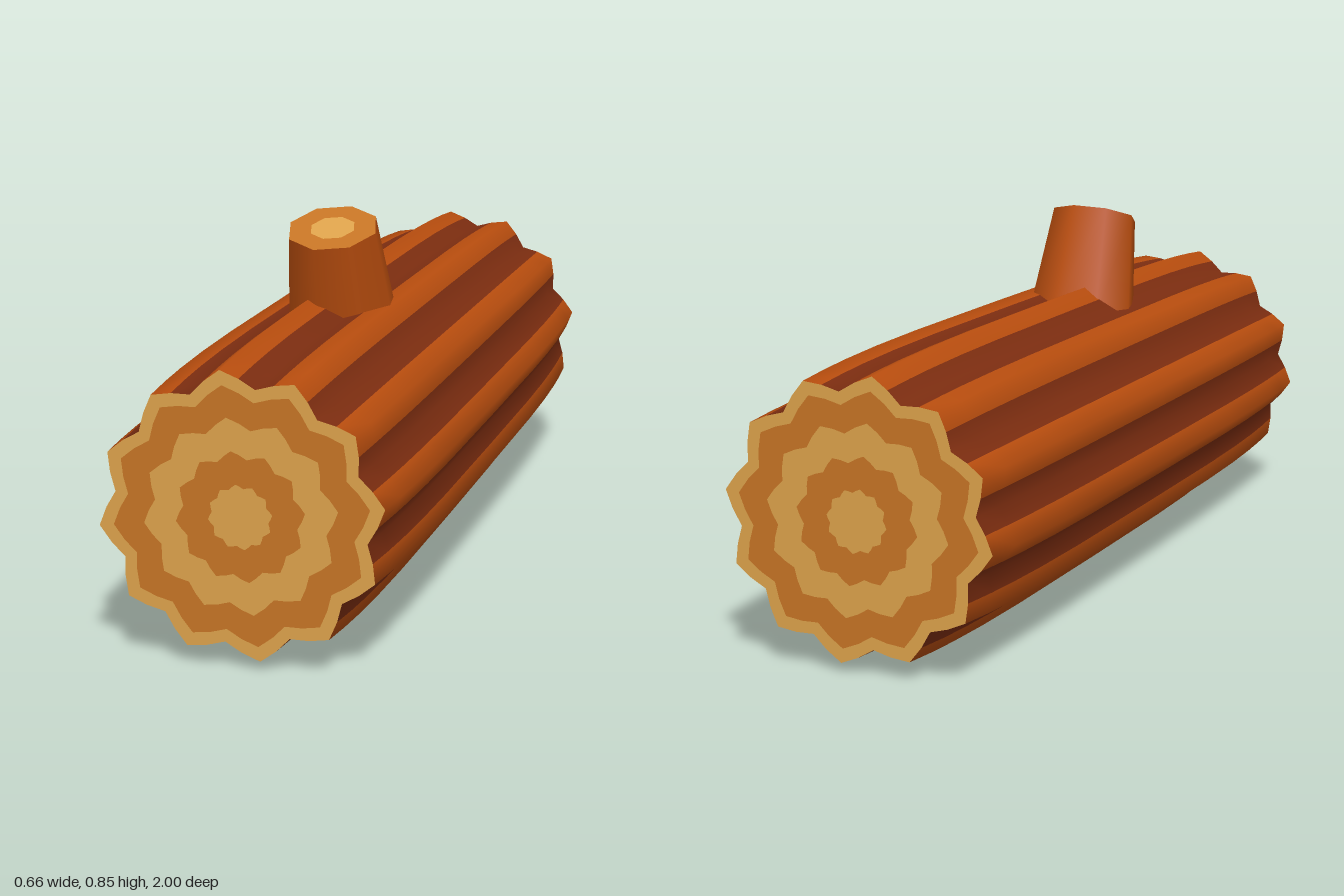
import * as THREE from 'three';

const mat = (name, color, extra = {}) => {
  const m = new THREE.MeshStandardMaterial({ color, ...extra });
  m.name = name;
  return m;
};

const RIDGES = 12, SIDES = RIDGES * 4, PHASE = THREE.MathUtils.degToRad(7.5);
const R = 0.333, CENTRE_Y = 0.335, END = 0.937;

// Ridged outline: four points per ridge (tip, slope, valley, slope)
function outline(r) {
  return Array.from({ length: SIDES }, (_, i) => {
    const a = PHASE + (i / SIDES) * Math.PI * 2;
    const d = r * (0.94 + 0.06 * Math.cos((i * Math.PI) / 2));
    return new THREE.Vector2(Math.cos(a) * d, Math.sin(a) * d);
  });
}

// Bark tube: cross-sections along z, bright on the ridges and dark in the grooves
function barkGeometry() {
  const zs = [-1, -0.9, -0.8, -0.65, -0.45, 0, 0.45, 0.65, 0.8, 0.9, 1];
  const pos = [], bright = [], dark = [];
  zs.forEach((z) => outline(R * (1 - (1 - END) * z ** 4)).forEach((p) => pos.push(p.x, p.y, z)));
  for (let j = 0; j < zs.length - 1; j++) {
    for (let i = 0; i < SIDES; i++) {
      const k = (i + 1) % SIDES;
      const a = j * SIDES + i, b = j * SIDES + k, c = a + SIDES, d = b + SIDES;
      const list = i % 4 === 0 || i % 4 === 3 ? bright : dark;
      list.push(a, b, d, a, d, c);
    }
  }
  const g = new THREE.BufferGeometry();
  g.setAttribute('position', new THREE.Float32BufferAttribute(pos, 3));
  g.setIndex([...bright, ...dark]);
  g.addGroup(0, bright.length, 0);
  g.addGroup(bright.length, dark.length, 1);
  g.computeVertexNormals();
  return g;
}

export function createModel() {
  const model = new THREE.Group();
  model.name = 'log';
  const ridgeBark = mat('ridge bark', 0xb84d0e);
  const grooveBark = mat('groove bark', 0x7c2d10);
  const lightWood = mat('light wood', 0xdca24b);
  const darkWood = mat('dark wood', 0xc67425);

  const add = (parent, name, geometry, material) => {
    const m = new THREE.Mesh(geometry, material);
    m.name = name;
    parent.add(m);
    return m;
  };

  const trunk = new THREE.Group();
  trunk.name = 'trunk';
  trunk.position.y = CENTRE_Y;
  model.add(trunk);
  add(trunk, 'bark', barkGeometry(), [ridgeBark, grooveBark]);

  // Growth rings on both sawn ends
  const radii = [0.07, 0.141, 0.212, 0.28, R * END];
  radii.forEach((r, i) => {
    const shape = new THREE.Shape(outline(r));
    if (i) shape.holes.push(new THREE.Path(outline(radii[i - 1])));
    const wood = i % 2 ? darkWood : lightWood;
    const front = new THREE.ShapeGeometry(shape).translate(0, 0, 1);
    // Half a ridge of roll lines the turned rings up with the bark
    const back = front.clone().rotateY(Math.PI).rotateZ(Math.PI / RIDGES);
    add(trunk, 'frontRing' + (i + 1), front, wood);
    add(trunk, 'backRing' + (i + 1), back, wood);
  });

  // Sawn-off branch leaning towards the front, origin at its cut top
  const branch = new THREE.Group();
  branch.name = 'branch';
  branch.position.set(0, 0.823, 0.316);
  branch.rotation.x = THREE.MathUtils.degToRad(19.2);
  model.add(branch);
  const turn = THREE.MathUtils.degToRad(9);
  const len = 0.28;
  const side = new THREE.CylinderGeometry(0.106, 0.136, len, 8, 1, true)
    .translate(0, -len / 2, 0).rotateY(Math.PI - turn);
  add(branch, 'branchBark', side, ridgeBark);
  const start = Math.PI / 2 - turn;
  const flat = (g) => g.rotateX(-Math.PI / 2);
  add(branch, 'branchOuterRing', flat(new THREE.RingGeometry(0.053, 0.106, 8, 1, start)), darkWood);
  add(branch, 'branchCore', flat(new THREE.CircleGeometry(0.053, 8, start)), lightWood);

  return model;
}
